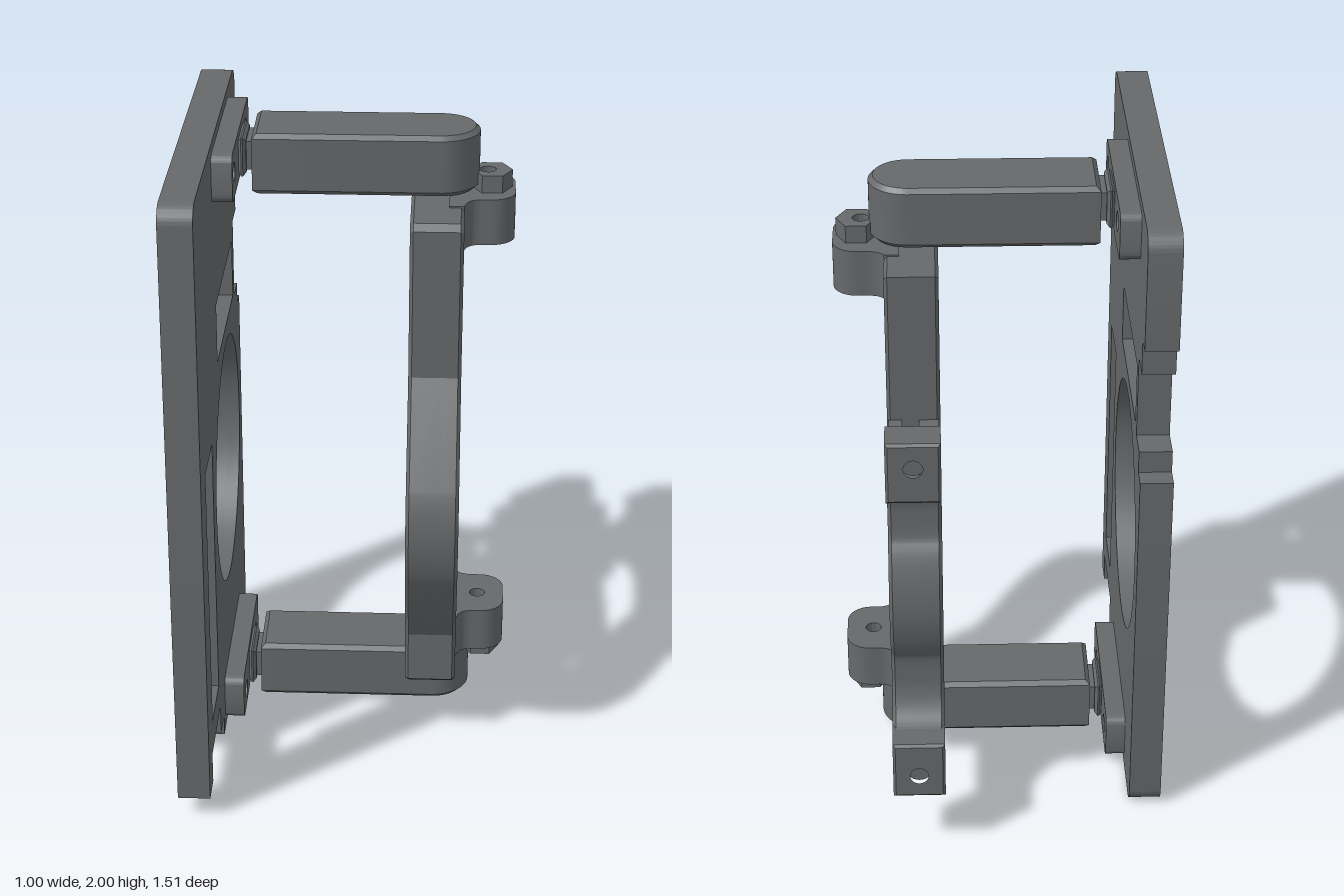
import * as THREE from 'three';
import { toCreasedNormals } from 'three/addons/utils/BufferGeometryUtils.js';

const material = new THREE.MeshStandardMaterial({ color: 0x66686a });

const poly = (pts) => new THREE.Shape(pts.map(([a, b]) => new THREE.Vector2(a, b)));
const circle = (u, v, r) => new THREE.Path().absarc(u, v, r, 0, Math.PI * 2, true);
const rect = (u0, v0, u1, v1) => poly([[u0, v0], [u0, v1], [u1, v1], [u1, v0]]);

function roundRect(u0, v0, u1, v1, r) {
  const s = new THREE.Shape();
  s.absarc(u1 - r, v1 - r, r, 0, Math.PI / 2);
  s.absarc(u0 + r, v1 - r, r, Math.PI / 2, Math.PI);
  s.absarc(u0 + r, v0 + r, r, Math.PI, Math.PI * 1.5);
  s.absarc(u1 - r, v0 + r, r, Math.PI * 1.5, Math.PI * 2);
  return s;
}

// Extrude between two heights, with an optional chamfer inside those limits
function slab(shape, from, to, bevel = 0) {
  const g = new THREE.ExtrudeGeometry(shape, {
    depth: to - from - 2 * bevel, curveSegments: 32, bevelEnabled: bevel > 0,
    bevelThickness: bevel, bevelSize: bevel, bevelOffset: -bevel, bevelSegments: 1,
  });
  return g.translate(0, 0, from + bevel);
}
const finish = (g) => toCreasedNormals(g, 0.45);
// Shape (-z, y) extruded along x
const slabX = (shape, x0, x1, bevel) => finish(slab(shape, x0, x1, bevel).rotateY(Math.PI / 2));
// Shape (x, -z) extruded along y
const slabY = (shape, y0, y1, bevel) => finish(slab(shape, y0, y1, bevel).rotateX(-Math.PI / 2));

function add(parent, name, geometry) {
  const m = new THREE.Mesh(geometry, material);
  m.name = name;
  parent.add(m);
  return m;
}

// Back plate outline with lens opening, slots and stepped edges
function plateShape() {
  const s = new THREE.Shape();
  s.moveTo(-0.755, 0.07);
  [[-0.66, 0.07], [-0.66, 0.17], [-0.39, 0.17], [-0.39, 0.07], [-0.29, 0.07], [-0.29, 0]]
    .forEach(([u, y]) => s.lineTo(u, y));
  s.absarc(0.485, 0.06, 0.06, -Math.PI / 2, 0);
  [[0.545, 1.2], [0.48, 1.2], [0.48, 1.27], [0.38, 1.27], [0.38, 1.53], [0.48, 1.53], [0.48, 1.64], [0.545, 1.64]]
    .forEach(([u, y]) => s.lineTo(u, y));
  s.absarc(0.485, 1.94, 0.06, 0, Math.PI / 2);
  s.absarc(-0.695, 1.94, 0.06, Math.PI / 2, Math.PI);
  s.holes.push(circle(0.06, 0.835, 0.4), rect(-0.2, 1.29, 0.33, 1.48), rect(-0.625, 0.27, -0.425, 1.12));
  return s;
}

function buildPlate(group) {
  const back = plateShape();
  const [cu, cy, ring] = [-0.37, 1.63, 0.23];
  back.holes.push(circle(cu, cy, 0.078));
  // Five blind holes around a centre hole
  [-75, -15, 45, 105, 165].forEach((deg) => {
    const a = (deg * Math.PI) / 180;
    back.holes.push(circle(cu - ring * Math.cos(a), cy + ring * Math.sin(a), 0.078));
  });
  add(group, 'plateBackLayer', slabX(back, -0.5, -0.44));
  add(group, 'plateFrontLayer', slabX(plateShape(), -0.44, -0.4));
  add(group, 'slotLedge', slabX(rect(-0.63, 0.62, -0.6, 1.12), -0.5, -0.46));
}

// Lens frame outline
function frameShape() {
  const cy = 0.84;
  const top = 1.28;
  const low = 2 * cy - top;
  const s = new THREE.Shape();
  s.moveTo(-0.285, 0.225);
  s.lineTo(-0.265, 0.21);
  [[0.33, 0.21], [0.33, low], [0.64, low], [0.64, 0.41], [0.67, 0.41]].forEach(([u, y]) => s.lineTo(u, y));
  // Wavy finger edge
  s.bezierCurveTo(0.63, 0.42, 0.59, 0.47, 0.59, 0.54);
  s.bezierCurveTo(0.59, 0.66, 0.6, 0.62, 0.63, 0.68);
  s.bezierCurveTo(0.678, 0.78, 0.678, 0.9, 0.63, 1.0);
  s.bezierCurveTo(0.6, 1.06, 0.59, 1.02, 0.59, 1.14);
  s.bezierCurveTo(0.59, 1.21, 0.63, 1.26, 0.67, 1.27);
  [[0.64, 1.27], [0.64, top], [0.33, top], [0.33, 1.78], [-0.265, 1.78], [-0.285, 1.76], [-0.285, 1.29], [-0.475, 1.0]]
    .forEach(([u, y]) => s.lineTo(u, y));
  s.bezierCurveTo(-0.525, 0.9, -0.525, 0.78, -0.475, 0.68);
  s.lineTo(-0.285, 0.39);

  // Opening: round on one side, angled on the other
  const hole = new THREE.Path();
  const a = 2.03;
  hole.absarc(0.065, cy, 0.415, a, -a, true);
  hole.lineTo(-0.12, 0.5);
  hole.lineTo(-0.23, 0.7);
  hole.quadraticCurveTo(-0.31, cy, -0.23, 0.98);
  hole.lineTo(-0.12, 1.18);
  hole.closePath();
  // Strap window
  s.holes.push(hole, poly([[-0.2, 1.47], [-0.17, 1.435], [0.22, 1.435], [0.25, 1.47],
    [0.25, 1.6], [0.22, 1.635], [-0.17, 1.635], [-0.2, 1.6]]));
  return s;
}

function buildFrame(group) {
  // Two overlapping chamfered layers; only the outer one has the small pockets
  const outer = frameShape();
  outer.holes.push(rect(0.215, 1.32, 0.27, 1.41), rect(0.215, 0.27, 0.27, 0.36));
  add(group, 'frameInnerLayer', slabX(frameShape(), 0.185, 0.3, 0.01));
  add(group, 'frameOuterLayer', slabX(outer, 0.25, 0.345, 0.01));
  // Lips leave a groove along the side rails
  [[1.265, 1.305], [0.375, 0.415]].forEach(([y0, y1]) => {
    [[0.19, 0.25], [0.3, 0.34]].forEach(([x0, x1]) => {
      add(group, 'railLip', slabX(rect(0.325, y0, 0.645, y1), x0, x1));
    });
  });
  // Drilled lugs at the far corners, each with a screw inside
  [['upperLug', 1.27, 1.465, 1.385], ['lowerLug', 0.215, 0.41, 0.295]].forEach(([name, y0, y1, hy]) => {
    const s = rect(0.185, y0, 0.345, y1);
    s.holes.push(circle(0.265, hy, 0.036));
    add(group, name, finish(slab(s, -0.755, -0.64, 0.008)));
    const screw = new THREE.CylinderGeometry(0.04, 0.04, 0.05, 24).rotateX(Math.PI / 2);
    add(group, 'lugScrew', screw).position.set(0.265, hy, -0.6975);
  });
}

// One arm with its mounting pad and hinge; flip places it at the bottom
function buildArm(group, flip) {
  const span = (a, b) => (flip ? [2 - b, 2 - a] : [a, b]);
  const side = new THREE.Group();
  side.name = flip ? 'lowerArm' : 'upperArm';
  group.add(side);

  const pad = roundRect(-0.245, ...span(1.82, 1.97).slice(0, 1), 0.335, span(1.82, 1.97)[1], 0.03);
  const screwY = flip ? 0.085 : 1.9;
  [flip ? -0.145 : -0.18, 0.225].forEach((u) => {
    pad.holes.push(circle(u, screwY, 0.03));
    const screw = new THREE.CylinderGeometry(0.018, 0.018, 0.04, 16).rotateZ(Math.PI / 2);
    add(side, 'padScrew', screw).position.set(-0.385, screwY, -u);
  });
  add(side, 'mountingPad', slabX(pad, -0.4, -0.338));

  const [n0, n1] = span(1.835, 1.955);
  add(side, 'neckFlange', slabX(rect(-0.04, n0, 0.13, n1), -0.34, -0.315, 0.01));
  add(side, 'neck', slabX(rect(-0.02, n0 + 0.015, 0.11, n1 - 0.015), -0.33, -0.28));

  const arm = new THREE.Shape();
  arm.moveTo(-0.295, -0.075);
  arm.lineTo(0.27, -0.075);
  arm.absarc(0.27, 0.045, 0.12, -Math.PI / 2, Math.PI / 2);
  arm.lineTo(-0.295, 0.165);
  arm.closePath();
  add(side, 'armBar', slabY(arm, ...span(1.79, 1.98), 0.014));

  // Knuckle blends into the frame wall with fillets
  const k = new THREE.Shape();
  k.moveTo(0.3, -0.135);
  k.lineTo(0.345, -0.135);
  k.quadraticCurveTo(0.35, -0.075, 0.4, -0.075);
  k.absarc(0.425, 0, 0.075, -Math.PI / 2, 0);
  k.absarc(0.425, 0.09, 0.075, 0, Math.PI / 2);
  k.lineTo(0.4, 0.165);
  k.quadraticCurveTo(0.36, 0.165, 0.345, 0.19);
  k.lineTo(0.3, 0.19);
  k.holes.push(circle(0.415, 0.045, 0.025));
  add(side, 'hingeKnuckle', slabY(k, ...span(1.64, 1.785)));

  const nut = poly([0, 1, 2, 3, 4, 5].map((i) => {
    const a = (i * Math.PI) / 3;
    return [0.428 + 0.062 * Math.cos(a), 0.045 + 0.07 * Math.sin(a)];
  }));
  nut.holes.push(circle(0.415, 0.045, 0.025));
  add(side, 'hingeNut', slabY(nut, ...span(1.785, 1.84)));

  // Screw collar on the knuckle face
  const collar = new THREE.TorusGeometry(0.026, 0.004, 8, 24).rotateY(Math.PI / 2);
  add(side, 'screwCollar', collar).position.set(0.497, flip ? 0.285 : 1.715, -0.045);
}

export function createModel() {
  const model = new THREE.Group();
  model.name = 'hingedLensMount';
  const plate = new THREE.Group();
  plate.name = 'backPlate';
  const frame = new THREE.Group();
  frame.name = 'lensFrame';
  model.add(plate, frame);
  buildPlate(plate);
  buildFrame(frame);
  [false, true].forEach((flip) => buildArm(model, flip));
  return model;
}
